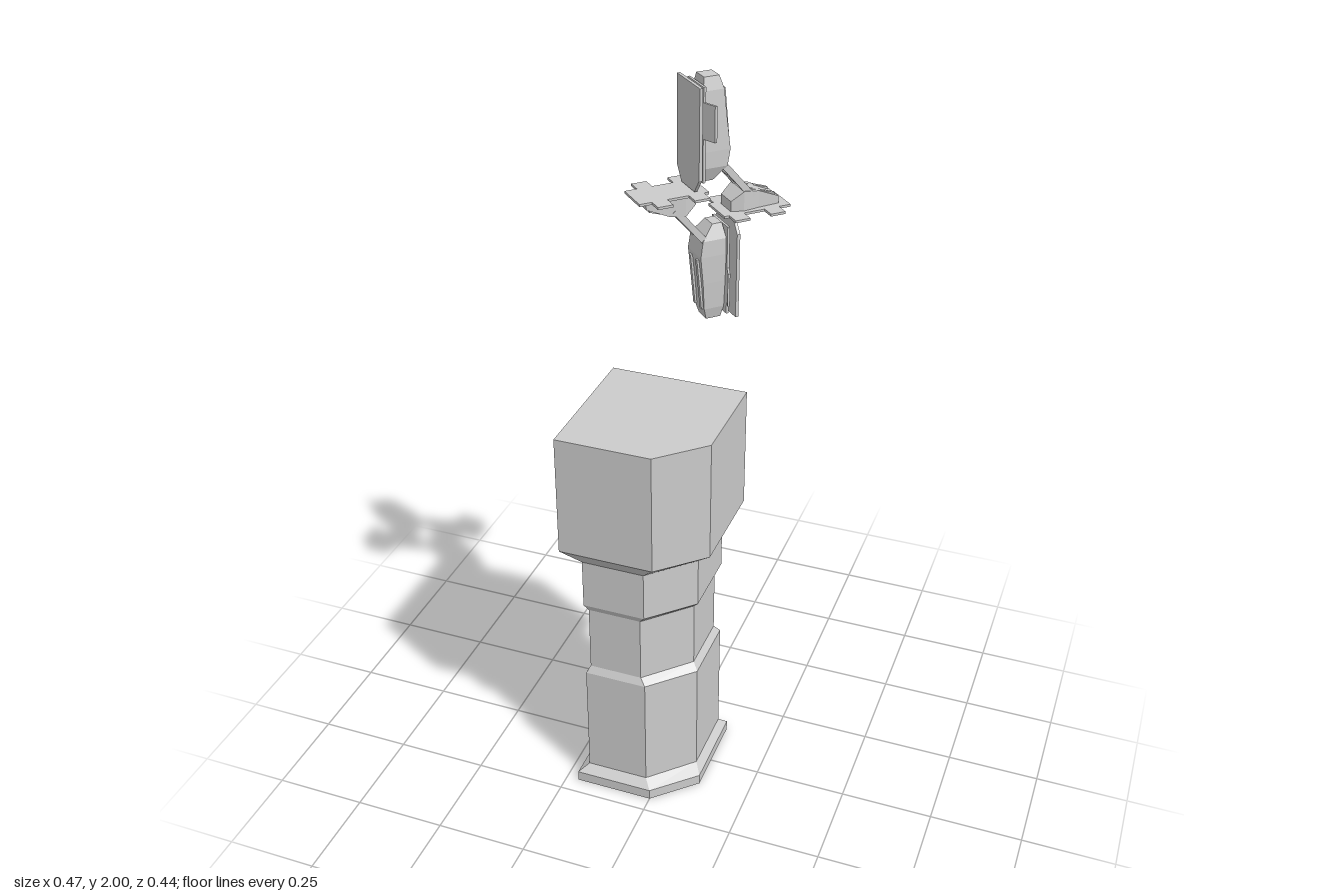
import * as THREE from 'three';

const material = new THREE.MeshStandardMaterial({ color: 0xcccccc, flatShading: true });

function addMesh(parent, geometry, name) {
  const mesh = new THREE.Mesh(geometry, material);
  mesh.name = name;
  parent.add(mesh);
  return mesh;
}

// Joins rings of [x, y, z] points, each counterclockwise from above, and caps both ends
function loft(rings) {
  const n = rings[0].length, index = [];
  for (let i = 0; i < rings.length - 1; i++) {
    for (let j = 0; j < n; j++) {
      const a = i * n + j, b = i * n + (j + 1) % n;
      index.push(a, b, b + n, a, b + n, a + n);
    }
  }
  const top = (rings.length - 1) * n;
  for (let j = 1; j < n - 1; j++) {
    index.push(0, j + 1, j, top, top + j, top + j + 1);
  }
  const geometry = new THREE.BufferGeometry();
  geometry.setAttribute('position', new THREE.Float32BufferAttribute(rings.flat(2), 3));
  geometry.setIndex(index);
  const flat = geometry.toNonIndexed();
  flat.computeVertexNormals();
  return flat;
}

// Rectangle with one cut corner at +x +z
const towerRing = (y, x0, x1, z0, z1, cutX, cutZ) =>
  [[x1, y, cutZ], [x1, y, z0], [x0, y, z0], [x0, y, z1], [cutX, y, z1]];

// Rectangular cross-section of an arm body
const bodyRing = ([r, x0, x1, w]) => [[x1, r, w], [x1, r, -w], [x0, r, -w], [x0, r, w]];

// Thin plate from a half outline of [half width, radius]; bend curls its sides toward +x
function plate(half, thickness, x, bend = 0) {
  const outline = [...half, ...half.map(([w, r]) => [-w, r]).reverse()];
  const shape = new THREE.Shape(outline.map(([w, r]) => new THREE.Vector2(w, r)));
  const geometry = new THREE.ExtrudeGeometry(shape, { depth: thickness, bevelEnabled: false });
  geometry.rotateY(Math.PI / 2).translate(x, 0, 0);
  const p = geometry.attributes.position;
  for (let i = 0; i < p.count; i++) p.setX(i, p.getX(i) + bend * p.getZ(i) ** 2);
  geometry.computeVertexNormals();
  return geometry;
}

function bar(parent, from, to, width, depth, z, name) {
  const [x0, y0] = from, [x1, y1] = to;
  const mesh = addMesh(parent, new THREE.BoxGeometry(width, Math.hypot(x1 - x0, y1 - y0), depth), name);
  mesh.position.set((x0 + x1) / 2, (y0 + y1) / 2, z);
  mesh.rotation.z = Math.atan2(x0 - x1, y1 - y0);
}

// Long arm: points up, plates on its -x side
function longArm() {
  const arm = new THREE.Group();
  arm.name = 'longArm';
  addMesh(arm, loft([
    [0.055, -0.025, 0.0, 0.02], [0.09, -0.03, 0.03, 0.035], [0.13, -0.03, 0.036, 0.036],
    [0.2, -0.03, 0.028, 0.033], [0.27, -0.03, 0.022, 0.028], [0.3, -0.025, 0.013, 0.02],
  ].map(bodyRing)), 'longBody');
  addMesh(arm, plate([[0.035, 0.04], [0.06, 0.075], [0.06, 0.29]], 0.008, -0.054), 'longBoard');
  addMesh(arm, plate([
    [0.042, 0.06], [0.042, 0.165], [0.074, 0.165], [0.074, 0.25], [0.042, 0.25], [0.042, 0.285],
  ], 0.006, -0.042, 3.5), 'earedPlate');
  for (const z of [-0.018, 0.018]) bar(arm, [0.035, 0.14], [0.022, 0.27], 0.01, 0.01, z, 'bodyRail');
  return arm;
}

// Short arm: broad plate with two pairs of ears under a low wedge body
function shortArm() {
  const arm = new THREE.Group();
  arm.name = 'shortArm';
  addMesh(arm, loft([
    [0.045, -0.03, -0.005, 0.026], [0.075, -0.03, 0.018, 0.035],
    [0.115, -0.03, 0.012, 0.03], [0.17, -0.03, -0.012, 0.026],
  ].map(bodyRing)), 'shortBody');
  addMesh(arm, plate([
    [0.043, 0.02], [0.043, 0.033], [0.076, 0.033], [0.076, 0.071], [0.043, 0.071],
    [0.043, 0.125], [0.076, 0.125], [0.076, 0.163], [0.043, 0.163], [0.043, 0.194],
  ], 0.006, -0.037), 'earedPlate');
  for (const z of [-0.018, 0.018]) bar(arm, [0.018, 0.08], [-0.008, 0.16], 0.01, 0.01, z, 'bodyRail');
  return arm;
}

export function createModel() {
  const model = new THREE.Group();
  model.name = 'towerWithRotor';

  // Tower: stepped shaft with a wide head and one cut corner
  addMesh(model, loft([
    towerRing(0, -0.215, 0.11, -0.14, 0.205, 0.0, 0.1),
    towerRing(0.03, -0.215, 0.11, -0.14, 0.205, 0.0, 0.1),
    towerRing(0.05, -0.19, 0.09, -0.12, 0.18, -0.02, 0.07),
    towerRing(0.38, -0.19, 0.09, -0.12, 0.18, -0.02, 0.07),
    towerRing(0.4, -0.18, 0.075, -0.108, 0.17, -0.035, 0.057),
    towerRing(0.59, -0.18, 0.075, -0.108, 0.17, -0.035, 0.057),
    towerRing(0.61, -0.19, 0.09, -0.12, 0.18, -0.02, 0.07),
    towerRing(0.75, -0.19, 0.09, -0.12, 0.18, -0.02, 0.07),
    towerRing(0.8, -0.235, 0.135, -0.165, 0.22, 0.02, 0.11),
    towerRing(1.135, -0.235, 0.135, -0.165, 0.22, 0.02, 0.11),
  ]), 'tower');

  // Rotor: two identical halves, each a long and a short arm joined by struts
  const rotor = new THREE.Group();
  rotor.name = 'rotor';
  for (const turn of [0, Math.PI]) {
    const half = new THREE.Group();
    half.name = 'rotorHalf';
    half.rotation.z = turn;
    half.add(longArm());

    const side = new THREE.Group();
    side.name = 'sideArm';
    side.rotation.z = -Math.PI / 2;
    const short = shortArm();
    short.rotation.y = Math.PI;
    side.add(short);
    half.add(side);

    for (const z of [-0.026, 0.026]) bar(half, [0.015, 0.1], [0.1, 0.0], 0.016, 0.012, z, 'strut');
    bar(half, [0.045, 0.06], [0.065, 0.037], 0.01, 0.05, 0, 'strutBrace');
    rotor.add(half);
  }
  // Centre of the rotor, turned to face the cut corner
  rotor.position.set(0.064, 1.7, -0.052);
  rotor.rotation.y = Math.PI / 4;
  model.add(rotor);
  return model;
}
